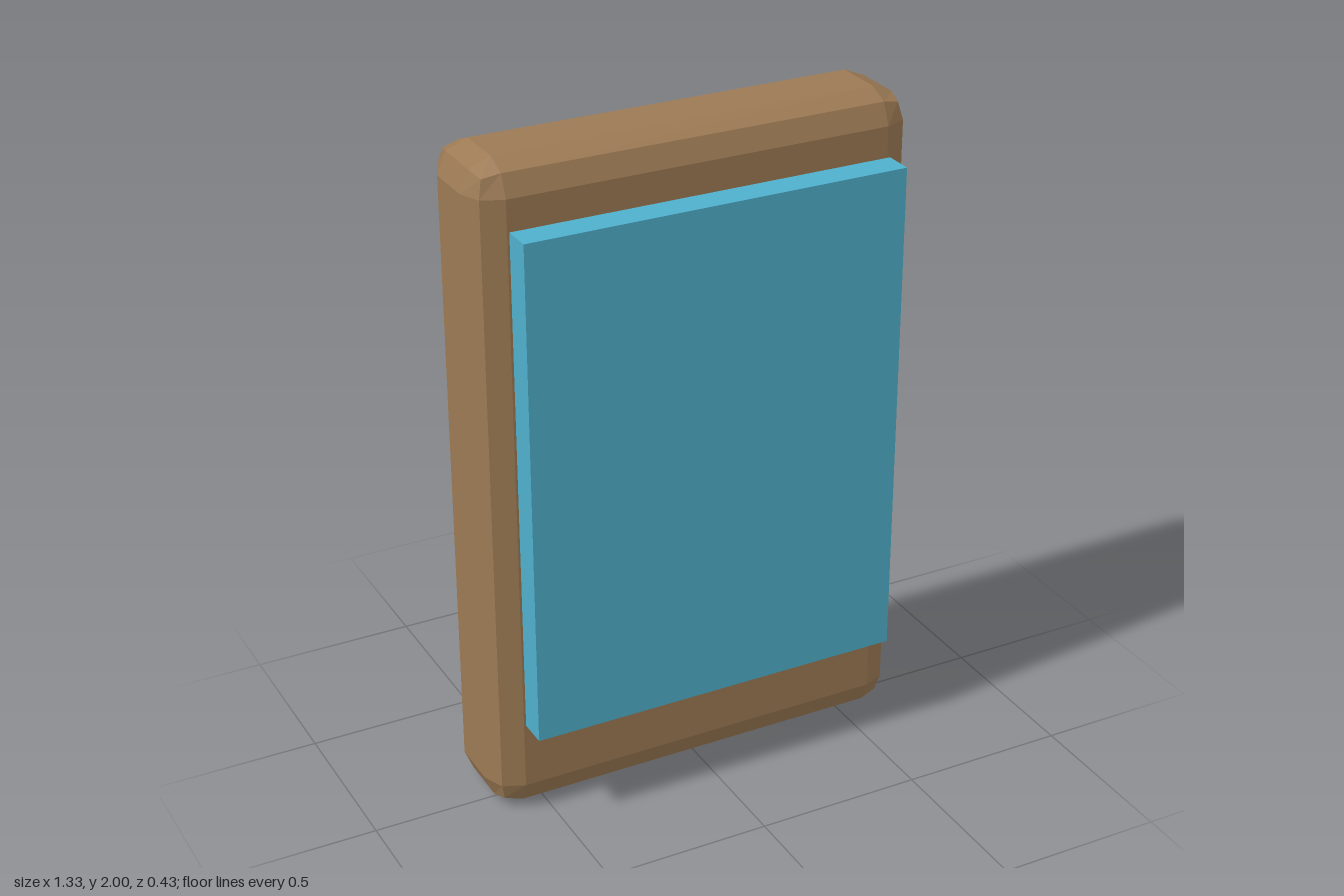
import * as THREE from 'three';
import { RoundedBoxGeometry } from 'three/addons/geometries/RoundedBoxGeometry.js';

export function createModel() {
  const model = new THREE.Group();
  model.name = 'tablet';

  const addPart = (name, geometry, color, y, z) => {
    const material = new THREE.MeshStandardMaterial({ color, flatShading: true });
    const mesh = new THREE.Mesh(geometry, material);
    mesh.name = name;
    mesh.position.set(0, y, z);
    model.add(mesh);
  };

  // Case with coarse two-facet rounded edges
  addPart('body', new RoundedBoxGeometry(1.33, 2, 0.33, 1, 0.09), 0x9c7a54, 1, -0.052);

  // Thin panel floating just in front of the case, set slightly high
  addPart('screen', new THREE.BoxGeometry(1.15, 1.52, 0.088), 0x4fb0cc, 1.065, 0.172);

  return model;
}
